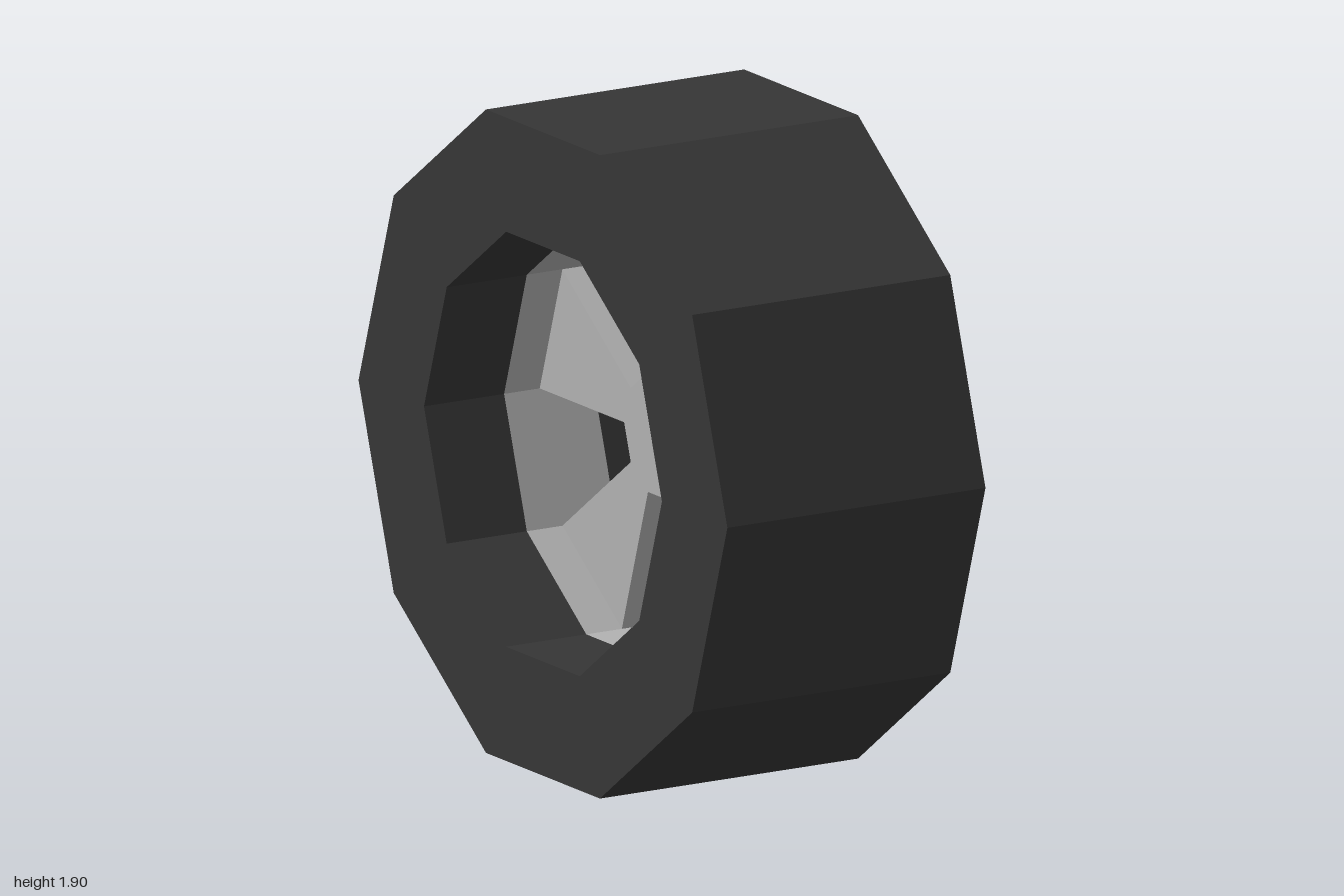
import * as THREE from 'three';

const SIDES = 10;
const OUTER = 1, INNER = 0.645, HUB = 0.187;
const HALF_WIDTH = 0.435;
const RIM_BACK = -0.165, RIM_FRONT = 0.135;
const SPOKE_BACK = -0.045, HUB_FRONT = 0.195;
const HALF_STEP = Math.PI / SIDES;

function flat(name, color) {
  const m = new THREE.MeshStandardMaterial({ color, flatShading: true });
  m.name = name;
  return m;
}

// Ring turned about the x axis from [radius, x] points
function ring(points) {
  const profile = points.map(([r, x]) => new THREE.Vector2(r, x));
  return new THREE.LatheGeometry(profile, SIDES).rotateZ(-Math.PI / 2);
}

export function createModel() {
  const rubber = flat('rubber', 0x363636);
  const metal = flat('metal', 0xb2b2b2);

  const model = new THREE.Group();
  model.name = 'wheel';
  const wheel = new THREE.Group();
  wheel.name = 'wheelAssembly';
  wheel.position.y = OUTER * Math.cos(HALF_STEP);
  model.add(wheel);

  function add(name, geometry, material) {
    const mesh = new THREE.Mesh(geometry, material);
    mesh.name = name;
    wheel.add(mesh);
    return mesh;
  }

  // Tyre: tread, both side walls and the inner lips
  add('tyre', ring([
    [INNER, RIM_BACK], [INNER, -HALF_WIDTH], [OUTER, -HALF_WIDTH],
    [OUTER, HALF_WIDTH], [INNER, HALF_WIDTH], [INNER, RIM_FRONT],
  ]), rubber);

  // Rim: inward-facing metal band
  add('rim', ring([[INNER, RIM_FRONT], [INNER, RIM_BACK]]), metal);

  // Hub: stands a little proud of the spokes
  const hub = new THREE.CylinderGeometry(HUB, HUB, HUB_FRONT - SPOKE_BACK, SIDES);
  hub.rotateZ(-Math.PI / 2).translate((HUB_FRONT + SPOKE_BACK) / 2, 0, 0);
  add('hub', hub, metal);

  // Five wedge spokes, each joining one hub side to one rim side
  const s = Math.sin(HALF_STEP), c = Math.cos(HALF_STEP);
  const wedge = new THREE.Shape([
    new THREE.Vector2(-HUB * s, HUB * c), new THREE.Vector2(HUB * s, HUB * c),
    new THREE.Vector2(INNER * s, INNER * c), new THREE.Vector2(-INNER * s, INNER * c),
  ]);
  const spoke = new THREE.ExtrudeGeometry(wedge, { depth: RIM_FRONT - SPOKE_BACK, bevelEnabled: false });
  spoke.rotateY(Math.PI / 2).translate(SPOKE_BACK, 0, 0);
  for (let i = 0; i < 5; i++) {
    add('spoke' + (i + 1), spoke, metal).rotation.x = (i * Math.PI * 2) / 5;
  }

  return model;
}
